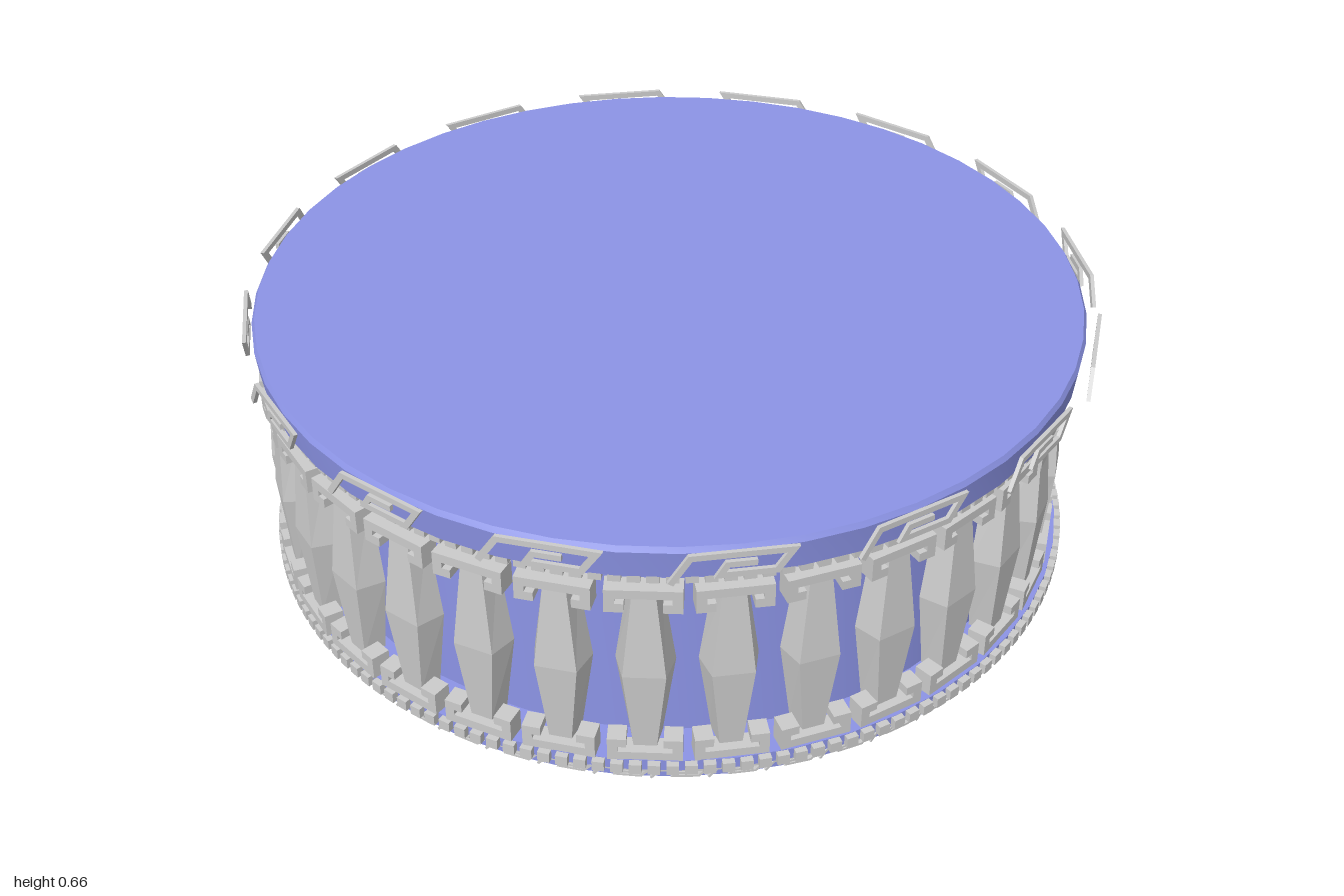
import * as THREE from 'three';
import { mergeGeometries, toCreasedNormals } from 'three/addons/utils/BufferGeometryUtils.js';

const grey = new THREE.MeshStandardMaterial({ color: 0xcccccc, flatShading: true });
const blue = new THREE.MeshStandardMaterial({ color: 0x8c94e6 });

// Flat band of width w along a polyline, with mitred corners, extruded to depth d
function band(points, w, d) {
  const p = points.map(([x, y]) => new THREE.Vector2(x, y));
  const normal = (a, b) => new THREE.Vector2(a.y - b.y, b.x - a.x).normalize();
  const left = [], right = [];
  p.forEach((q, i) => {
    const n1 = normal(p[Math.max(i - 1, 0)], p[Math.max(i, 1)]);
    const n2 = i < p.length - 1 ? normal(q, p[i + 1]) : n1;
    const m = n1.clone().add(n2).normalize();
    m.multiplyScalar(w / 2 / Math.max(m.dot(n1), 0.4));
    left.push(q.clone().add(m));
    right.unshift(q.clone().sub(m));
  });
  return new THREE.ExtrudeGeometry(new THREE.Shape([...left, ...right]), { depth: d, bevelEnabled: false });
}

// Copies of a piece set around the vertical axis, merged into one mesh
function ring(name, piece, count, radius, y, x = 0, z = 0) {
  const copies = [];
  for (let i = 0; i < count; i++) {
    copies.push(piece.clone().translate(0, y, radius).rotateY((i / count) * Math.PI * 2));
  }
  const mesh = new THREE.Mesh(mergeGeometries(copies), grey);
  mesh.name = name;
  mesh.position.set(x, 0, z);
  return mesh;
}

export function createModel() {
  const group = new THREE.Group();
  group.name = 'roundPedestal';
  const bx = -0.008, bz = 0.004;

  // Round body: stepped base, recessed drum, overhanging top slab
  const profile = [
    [0, 0], [0.945, 0], [0.945, 0.034], [0.962, 0.036], [0.962, 0.064], [0.865, 0.064],
    [0.865, 0.554], [0.935, 0.554], [0.935, 0.578], [0.965, 0.582], [0.972, 0.648], [0.965, 0.66], [0, 0.66],
  ].map(([r, y]) => new THREE.Vector2(r, y));
  const body = new THREE.Mesh(toCreasedNormals(new THREE.LatheGeometry(profile, 48), 0.4), blue);
  body.name = 'body';
  body.position.set(bx, 0, bz);
  group.add(body);

  // Columns: widest at mid height, with bevelled flanks
  const column = new THREE.BoxGeometry(1, 1, 1, 1, 2, 1);
  const pos = column.attributes.position;
  for (let i = 0; i < pos.count; i++) {
    const middle = Math.abs(pos.getY(i)) < 0.1;
    const front = pos.getZ(i) > 0;
    const width = (middle ? 0.128 : 0.07) * (front ? 0.72 : 1);
    pos.setXYZ(i, pos.getX(i) * width, pos.getY(i) * 0.42, front ? (middle ? 0.035 : 0.02) : -0.03);
  }
  column.computeVertexNormals();
  group.add(ring('columns', column, 32, 0.92, 0.3, -0.017, 0));

  // Hooked brackets above and below each column
  const hook = [[0.04, -0.048], [0.07, -0.048], [0.07, -0.012]];
  const path = [...hook, ...hook.map(([x, y]) => [-x, y]).reverse()];
  const bracket = band(path, 0.022, 0.045);
  const lower = band(path.map(([x, y]) => [x, -y]), 0.022, 0.045);
  group.add(ring('upperBrackets', bracket, 32, 0.912, 0.54, -0.017, 0));
  group.add(ring('lowerBrackets', lower, 32, 0.912, 0.062, -0.017, 0));

  // Rows of small blocks under the slab and around the base
  group.add(ring('upperBlocks', new THREE.BoxGeometry(0.027, 0.02, 0.03), 152, 0.937, 0.565, bx, bz));
  group.add(ring('lowerBlocks', new THREE.BoxGeometry(0.027, 0.026, 0.03), 152, 0.961, 0.05, bx, bz));

  // Slanted key pattern, large on the slab and small at the foot
  const key = [[-0.125, 0.006], [-0.085, 0.067], [0.122, 0.067], [0.09, 0.018], [-0.025, 0.018], [-0.01, 0.043], [0.05, 0.043]];
  group.add(ring('upperKeyPattern', band(key, 0.014, 0.009).translate(-0.03, 0, 0), 16, 0.987, 0.586));
  const smallKey = key.map(([x, y]) => [x * 0.48, y * 0.36]);
  group.add(ring('lowerKeyPattern', band(smallKey, 0.0055, 0.012), 48, 0.942, 0.004, bx, bz));

  return group;
}
